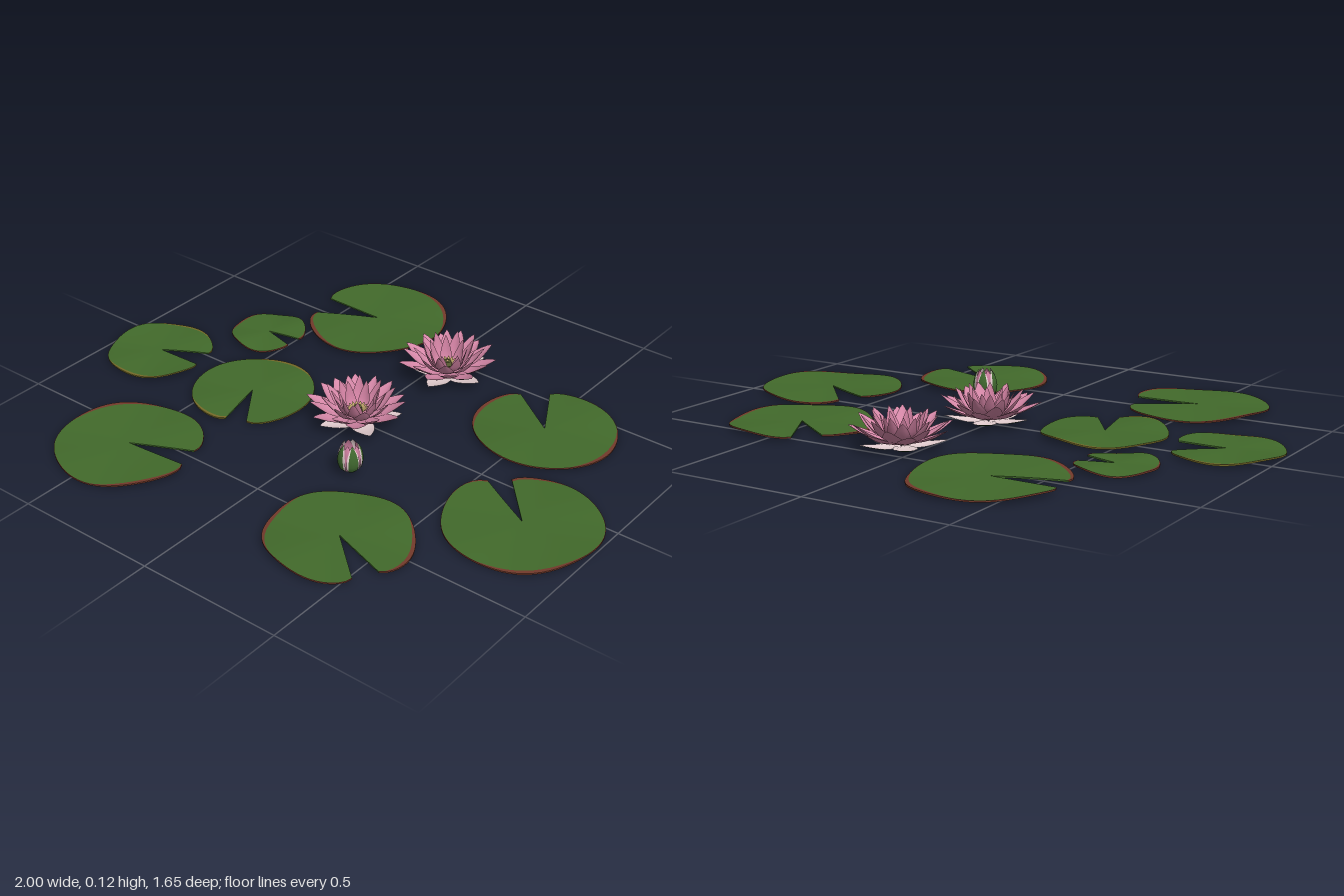
import * as THREE from 'three';
import { toCreasedNormals } from 'three/addons/utils/BufferGeometryUtils.js';

const mat = (name, color) => new THREE.MeshStandardMaterial({ name, color, side: THREE.DoubleSide });
const M = {
  pad: mat('padGreen', 0x426a2b),
  rimRed: mat('rimRedBrown', 0x733a2b),
  rimOlive: mat('rimOlive', 0x766a28),
  outer: mat('petalPink', 0xd688a8),
  inner: mat('petalDeepPink', 0xcc7e9e),
  pale: mat('sepalLiningPale', 0xe6d0d2),
  sepal: mat('sepalGreen', 0x40682f),
  stamen: mat('stamenYellow', 0xb8a068),
  heart: mat('heartOlive', 0x5c6034),
};
// single-sided, so that sepals are green outside and pale inside
M.sepal.side = THREE.FrontSide;
const RAD = Math.PI / 180;

// Thin wavy leaf disc with a wedge notch between angles n0 and n1 (degrees)
function padGeometry(rx, rz, n0, n1, rimAt, seed) {
  const S = [0, 0.3, 0.6, 0.85, 0.965, 1], rows = S.length * 2, N = 64;
  const start = n1 * RAD, sweep = (360 - (n1 - n0)) * RAD;
  const pos = [], green = [], rim = [];
  for (let i = 0; i <= N; i++) {
    const t = i / N, a = start + sweep * t, end = Math.min(t, 1 - t) * sweep;
    const k = (1 - 0.08 * Math.exp(-end / 0.1)) * (1 + 0.012 * Math.sin(5 * a + seed));
    // the coloured rim swells and fades along the edge
    const band = 0.055 * Math.max(0.12, Math.cos(2 * (a - rimAt * RAD)));
    for (let j = 0; j < rows; j++) {
      const top = j < S.length, ring = top ? j : rows - 1 - j;
      const s = ring === S.length - 2 ? 1 - band : S[ring];
      const wave = 0.008 * s * s * Math.sin(3 * a + seed) * Math.cos(a - seed);
      pos.push(rx * k * s * Math.cos(a), 0.013 + wave + (top ? 0.0025 : -0.0025), rz * k * s * Math.sin(a));
    }
  }
  const quad = (list, a, b, c, d) => list.push(a, b, c, a, c, d);
  for (let i = 0; i < N; i++) for (let j = 0; j < rows - 1; j++) {
    const isRim = Math.abs(j - S.length + 1) <= 1;
    const p = i * rows + j, q = p + rows;
    quad(isRim ? rim : green, p, q, q + 1, p + 1);
  }
  // walls of the notch
  for (const i of [0, N]) for (let j = 0; j < S.length - 1; j++) {
    const p = i * rows, c = [p + j, p + j + 1, p + rows - 2 - j, p + rows - 1 - j];
    quad(green, ...(i ? c.reverse() : c));
  }
  const g = new THREE.BufferGeometry();
  g.setAttribute('position', new THREE.Float32BufferAttribute(pos, 3));
  g.setIndex([...green, ...rim]);
  g.addGroup(0, green.length, 0);
  g.addGroup(green.length, rim.length, 1);
  return toCreasedNormals(g, 0.7);
}

// Cupped, pointed petal swept along a curve of (radius, height) points;
// its front faces inward, or outward when flipped
function petalGeometry(path, half, cup, flip = false) {
  const curve = new THREE.SplineCurve(path.map(([r, y]) => new THREE.Vector2(r, y)));
  const U = 8, V = 4, pos = [], idx = [];
  for (let i = 0; i <= U; i++) {
    const u = i / U, p = curve.getPoint(u), t = curve.getTangent(u);
    const w = half * Math.max(0.01, 0.35 * (1 - u) ** 3 + Math.sin(Math.PI * u ** 0.9) ** 1.05);
    for (let j = 0; j <= V; j++) {
      const v = (j / V) * 2 - 1, c = cup * v * v * w;
      pos.push(p.x - t.y * c, p.y + t.x * c, v * w);
    }
  }
  for (let i = 0; i < U; i++) for (let j = 0; j < V; j++) {
    const a = i * (V + 1) + j, b = a + V + 1;
    idx.push(...(flip ? [a, b + 1, a + 1, a, b, b + 1] : [a, a + 1, b + 1, a, b + 1, b]));
  }
  const g = new THREE.BufferGeometry();
  g.setAttribute('position', new THREE.Float32BufferAttribute(pos, 3));
  g.setIndex(idx);
  g.computeVertexNormals();
  return g;
}

// Ring of equal petals with slight size variation
function petalRing(name, geometry, material, count, turn, vary = 0) {
  const ring = new THREE.Group();
  ring.name = name;
  for (let i = 0; i < count; i++) {
    const m = new THREE.Mesh(geometry, material);
    m.name = name + 'Petal';
    m.rotation.y = turn + (i / count) * Math.PI * 2 + vary * Math.sin(i * 7.1);
    const k = 1 + vary * Math.sin(i * 5.3 + turn);
    m.scale.set(k, 1 + (k - 1) * 0.5, k);
    ring.add(m);
  }
  return ring;
}

// Five sepals: green outside, with a pale lining just inside
function sepalRing(parent, path, half, cup) {
  const lining = path.map(([r, y]) => [r - 0.0008, y + 0.0008]);
  parent.add(petalRing('sepals', petalGeometry(path, half, cup, true), M.sepal, 5, Math.PI / 5));
  parent.add(petalRing('sepalLining', petalGeometry(lining, half, cup), M.pale, 5, Math.PI / 5));
}

function flower(x, z, turn) {
  const f = new THREE.Group();
  f.name = 'flower';
  f.position.set(x, 0, z);
  f.rotation.y = turn;
  sepalRing(f, [[0.004, 0.012], [0.075, 0.014], [0.148, 0.034]], 0.036, 0.15);
  // tiers: name, count, tip radius, tip height, half width, base radius, material
  const tiers = [
    ['outerTier', 7, 0.168, 0.08, 0.032, 0.02, M.outer],
    ['secondTier', 7, 0.158, 0.098, 0.031, 0.022, M.outer],
    ['thirdTier', 8, 0.124, 0.114, 0.026, 0.024, M.outer],
    ['fourthTier', 8, 0.094, 0.122, 0.021, 0.027, M.inner],
    ['innerTier', 7, 0.068, 0.117, 0.018, 0.032, M.inner],
  ];
  tiers.forEach(([name, n, r, y, w, base, m], i) => {
    const path = [[base, 0.02 + i * 0.003], [base + (r - base) * 0.56, 0.022 + (y - 0.022) * 0.36], [r, y]];
    f.add(petalRing(name, petalGeometry(path, w, 0.3), m, n, (i * Math.PI) / 7, 0.055));
  });
  // seed head with a pale button, and stamens
  const head = new THREE.Mesh(new THREE.CylinderGeometry(0.013, 0.018, 0.032, 16), M.heart);
  head.name = 'seedHead';
  head.position.y = 0.044;
  const button = new THREE.Mesh(new THREE.SphereGeometry(0.005, 12, 8), M.stamen);
  button.name = 'seedButton';
  button.position.y = 0.06;
  f.add(head, button);
  const stamen = petalGeometry([[0.015, 0.038], [0.025, 0.049], [0.037, 0.058]], 0.006, 0.1);
  f.add(petalRing('stamens', stamen, M.stamen, 16, 0));
  return f;
}

function bud(x, z) {
  const b = new THREE.Group();
  b.name = 'bud';
  b.position.set(x, 0, z);
  const shell = (k) => [[0.012, 0.016], [0.035 * k, 0.036], [0.041 * k, 0.068], [0.035 * k, 0.1], [0.023 * k, 0.121]];
  b.add(petalRing('budInner', petalGeometry(shell(0.88), 0.02, 0.3), M.inner, 5, 0));
  b.add(petalRing('budPale', petalGeometry(shell(0.95), 0.0205, 0.25), M.pale, 5, Math.PI / 5));
  sepalRing(b, shell(1.02), 0.0155, 0.2);
  return b;
}

export function createModel() {
  const model = new THREE.Group();
  model.name = 'waterLilies';
  // pads: x, z, radius x, radius z, notch from, notch to, widest rim angle, rim
  const pads = [
    [-0.36, -0.57, 0.245, 0.257, 156, 181, 125, M.rimRed],
    [-0.605, -0.25, 0.13, 0.134, -13, 15, 180, M.rimRed],
    [-0.818, 0.085, 0.182, 0.187, -32, -1, -100, M.rimOlive],
    [-0.388, 0.085, 0.205, 0.211, 54, 76, -95, M.rimOlive],
    [-0.485, 0.578, 0.24, 0.243, -27, -4, 215, M.rimRed],
    [0.36, 0.54, 0.234, 0.225, 19, 42, -20, M.rimRed],
    [0.75, 0.144, 0.249, 0.247, 208, 228, 50, M.rimRed],
    [0.52, -0.33, 0.243, 0.227, 217, 243, 0, M.rimRed],
  ];
  pads.forEach(([x, z, rx, rz, n0, n1, rimAt, rim], i) => {
    const m = new THREE.Mesh(padGeometry(rx, rz, n0, n1, rimAt, i * 1.7), [M.pad, rim]);
    m.name = 'lilyPad';
    m.position.set(x, 0, z);
    model.add(m);
  });
  model.add(flower(0, 0, 0), flower(0.06, -0.42, 0.5), bud(0.175, 0.257));
  return model;
}
